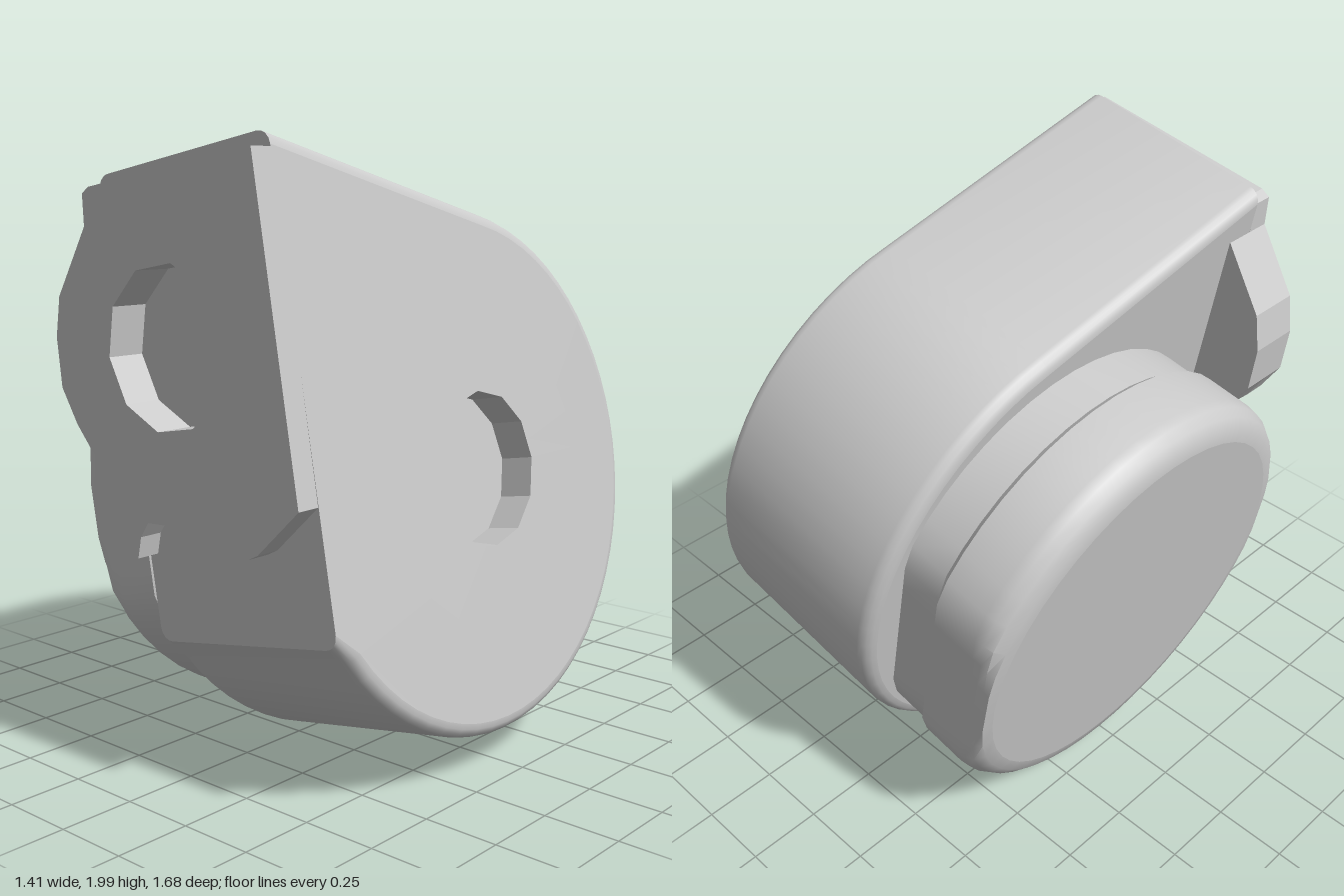
import * as THREE from 'three';
import { toCreasedNormals } from 'three/addons/utils/BufferGeometryUtils.js';

const TILT = THREE.MathUtils.degToRad(10);
const AXIS_Y = 0.84;
const metal = new THREE.MeshStandardMaterial({ color: 0xcbcbcb, side: THREE.DoubleSide });
metal.name = 'grey metal';

// Upright coordinates to the tilted housing's own x, y
const local = ([x, y]) => new THREE.Vector2(
  x * Math.cos(TILT) + y * Math.sin(TILT), -x * Math.sin(TILT) + y * Math.cos(TILT));

// Inset a profile point: front corners only in y, others towards the axis.
// The limit cuts flats at +-z.
function pull([z, y, corner], inset, limit = 1) {
  if (corner) return [z, y - Math.sign(y - AXIS_Y) * inset];
  const f = 1 - inset / Math.hypot(z, y - AXIS_Y);
  return [THREE.MathUtils.clamp(z * f, -limit, limit), AXIS_Y + (y - AXIS_Y) * f];
}

// Skin a profile through sections [x, inset, limit]
function loft(profile, sections, closed) {
  const pos = [], index = [], n = profile.length;
  for (const [x, inset, limit] of sections)
    for (const p of profile) {
      const [z, y] = pull(p, inset, limit);
      pos.push(x, y, z);
    }
  for (let i = 0; i < sections.length - 1; i++)
    for (let j = 0; j < (closed ? n : n - 1); j++) {
      const a = i * n + j, b = i * n + (j + 1) % n;
      index.push(a, b, a + n, b, b + n, a + n);
    }
  const g = new THREE.BufferGeometry();
  g.setAttribute('position', new THREE.Float32BufferAttribute(pos, 3));
  g.setIndex(index);
  return toCreasedNormals(g, 0.7);
}

// Flat side cap; dir is +1 or -1 along x
function cap(profile, [x, inset, limit], dir, hole) {
  const shape = new THREE.Shape(profile.map(p => {
    const [z, y] = pull(p, inset, limit);
    return new THREE.Vector2(-dir * z, y);
  }));
  if (hole) shape.holes.push(hole);
  return new THREE.ShapeGeometry(shape).rotateY(dir * Math.PI / 2).translate(x, 0, 0);
}

function circle(cx, cy, r, n) {
  const pts = [];
  for (let i = 0; i < n; i++) {
    const a = i / n * Math.PI * 2;
    pts.push(new THREE.Vector2(cx + r * Math.cos(a), cy + r * Math.sin(a)));
  }
  return new THREE.Path(pts);
}

export function createModel() {
  const model = new THREE.Group();
  const housing = new THREE.Group();
  housing.name = 'tiltedHousing';
  housing.rotation.z = TILT;
  model.add(housing);
  const add = (name, g) => {
    const m = new THREE.Mesh(g, metal);
    m.name = name;
    housing.add(m);
    return m;
  };

  // Scroll body: from the bottom front, under and round the back, straight to the top front
  const profile = [[0.76, 0.44, true]];
  for (let i = 0; i <= 40; i++) {
    const a = THREE.MathUtils.lerp(-1.0, Math.PI - 0.22, i / 40);
    profile.push([-0.84 * Math.sin(a), AXIS_Y - 0.84 * Math.cos(a)]);
  }
  profile.push([0.76, 1.905, true]);
  const bevel = 0.045, left = -0.03, right = 0.72;
  const rim = [0, 0.4, 0.8, 1.2, Math.PI / 2].map(a =>
    [bevel * (1 - Math.cos(a)), bevel * (1 - Math.sin(a))]);
  // Mirrored rims: the inset grows towards each side wall
  const leftRim = rim.map(([d, i]) => [left + d, i]).sort((p, q) => p[0] - q[0]);
  const rightRim = rim.map(([d, i]) => [right - d, i]).sort((p, q) => p[0] - q[0]);
  const sections = [...leftRim, ...rightRim];
  add('scrollBody', loft(profile, sections, false));

  // Side walls, the right one with the inlet hole
  const inletZ = -0.04, inletR = 0.25;
  add('leftWall', cap(profile, sections[0], -1));
  add('rightWall', cap(profile, sections.at(-1), 1, circle(-inletZ, AXIS_Y, inletR, 12)));

  // Inlet recess and the faint disc around it
  add('inletWall', toCreasedNormals(
    new THREE.CylinderGeometry(inletR, inletR, 0.12, 12, 1, true).rotateZ(Math.PI / 2), 0.3))
    .position.set(right - 0.06, AXIS_Y, inletZ);
  add('inletFloor', new THREE.CircleGeometry(inletR, 12).rotateY(Math.PI / 2))
    .position.set(right - 0.12, AXIS_Y, inletZ);
  add('inletRing', new THREE.RingGeometry(inletR, 0.5, 24).rotateY(Math.PI / 2))
    .position.set(right + 0.003, AXIS_Y, inletZ);

  // Front wall and flange share the outlet hole
  const outlet = local([0.02, 1.37]), outletR = 0.255;
  const outletHole = () => circle(outlet.x, outlet.y, outletR, 10);
  const wall = new THREE.Shape([
    ...sections.map(([x, i]) => new THREE.Vector2(x, 0.44 + i)),
    ...sections.map(([x, i]) => new THREE.Vector2(x, 1.905 - i)).reverse()]);
  wall.holes.push(outletHole());
  add('frontWall', new THREE.ShapeGeometry(wall).translate(0, 0, 0.76));

  const flange = new THREE.Shape([
    [0.39, 1.95], [-0.31, 1.84], [-0.34, 1.82], [-0.335, 1.72], [-0.47, 1.5], [-0.49, 1.37],
    [-0.47, 1.21], [-0.4, 1.1], [-0.31, 1.0], [-0.24, 0.94], [-0.17, 0.85], [-0.14, 0.77],
    [-0.15, 0.71], [-0.12, 0.71], [-0.105, 0.78], [-0.07, 0.83], [0.1, 0.84], [0.29, 0.88],
    [0.33, 0.85], [0.36, 0.79], [0.4, 0.81], [0.56, 0.96]].map(local));
  flange.holes.push(outletHole());
  add('frontFlange', new THREE.ExtrudeGeometry(flange, { depth: 0.08, bevelEnabled: false })
    .translate(0, 0, 0.76));
  add('outletWall', toCreasedNormals(
    new THREE.CylinderGeometry(outletR, outletR, 0.13, 10, 1, true, Math.PI / 2)
      .rotateX(Math.PI / 2), 0.3)).position.set(outlet.x, outlet.y, 0.775);
  add('outletFloor', new THREE.CircleGeometry(outletR, 10))
    .position.set(outlet.x, outlet.y, 0.71);

  // Thick lug behind the flange on the motor side
  const lug = new THREE.Shape([
    [-0.335, 1.72], [-0.47, 1.5], [-0.49, 1.37], [-0.47, 1.21], [-0.31, 1.0],
    [-0.17, 0.9], [-0.22, 1.2], [-0.3, 1.7]].map(local));
  add('mountingLug', new THREE.ExtrudeGeometry(lug, { depth: 0.11, bevelEnabled: false })
    .translate(0, 0, 0.655));

  // Motor drum with flats cut in front and back, and a slightly narrower neck
  const drum = [];
  for (let i = 0; i < 48; i++) {
    const a = i / 48 * Math.PI * 2;
    drum.push([-0.75 * Math.sin(a), AXIS_Y - 0.75 * Math.cos(a)]);
  }
  const flat = 0.68, neck = 0.655;
  const drumSections = [[-0.46, 0.1, flat], [-0.453, 0.06, flat], [-0.43, 0.026, flat],
    [-0.4, 0.006, flat], [-0.365, 0, flat], [-0.2, 0, flat], [-0.18, 0.02, neck],
    [-0.02, 0.02, neck]];
  add('motorDrum', loft(drum, drumSections, true)).position.z = -0.05;
  add('motorCover', cap(drum, drumSections[0], -1)).position.z = -0.05;

  return model;
}
